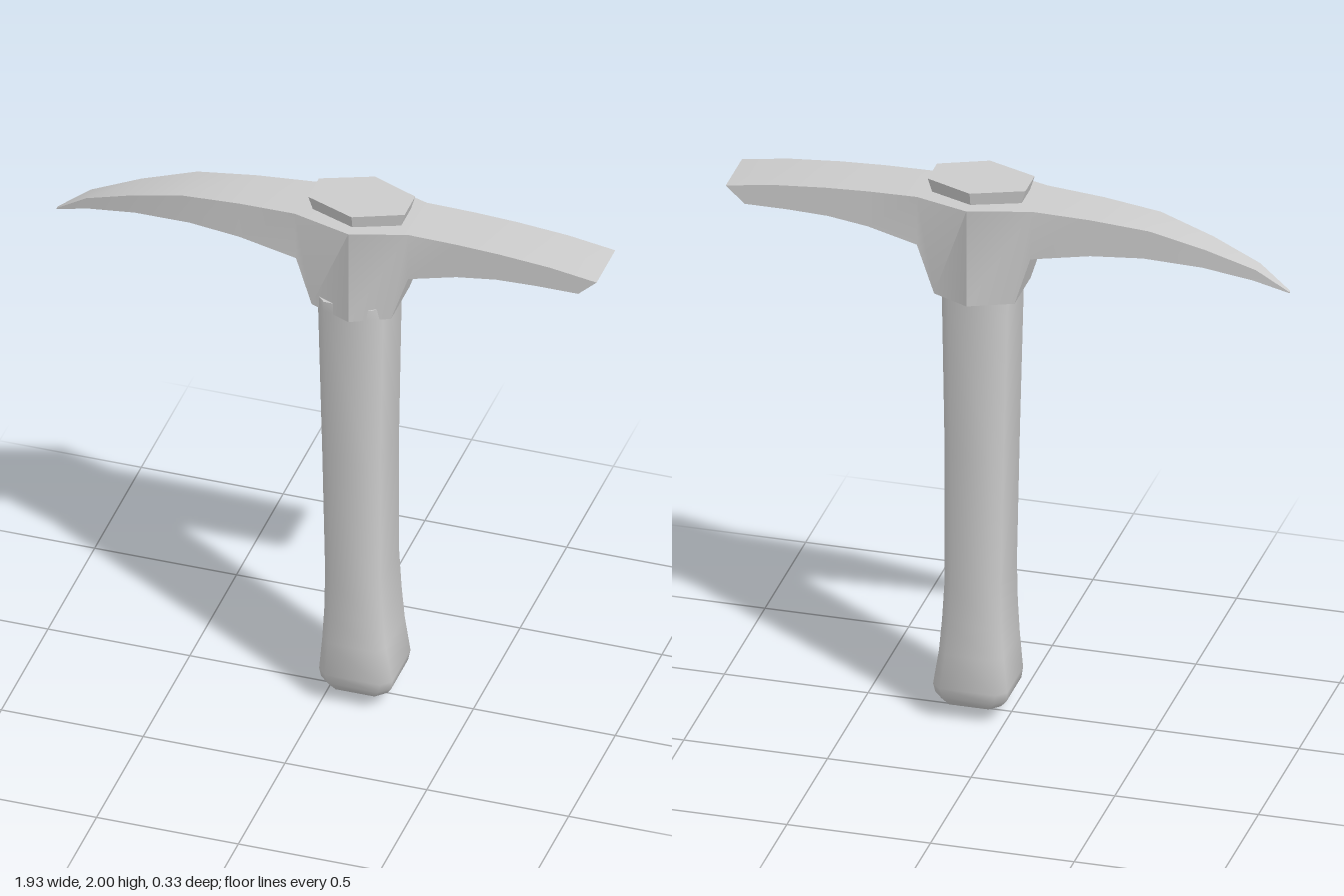
import * as THREE from 'three';
import { toCreasedNormals } from 'three/addons/utils/BufferGeometryUtils.js';

const material = new THREE.MeshStandardMaterial({ color: 0xcccccc });

// Skin a list of rings (arrays of Vector3, counter-clockwise about the direction of travel) and close both ends.
function loft(name, rings, creaseDegrees) {
  const positions = [];
  const tri = (a, b, c) => {
    const area = b.clone().sub(a).cross(c.clone().sub(a)).length();
    if (area > 1e-7) positions.push(...a.toArray(), ...b.toArray(), ...c.toArray());
  };
  const n = rings[0].length;
  for (let r = 0; r < rings.length - 1; r++) {
    const p = rings[r], q = rings[r + 1];
    for (let i = 0; i < n; i++) {
      const j = (i + 1) % n;
      tri(p[i], p[j], q[i]);
      tri(p[j], q[j], q[i]);
    }
  }
  const first = rings[0], last = rings[rings.length - 1];
  for (let i = 1; i < n - 1; i++) {
    tri(first[0], first[i + 1], first[i]);
    tri(last[0], last[i], last[i + 1]);
  }
  const geometry = new THREE.BufferGeometry();
  geometry.setAttribute('position', new THREE.Float32BufferAttribute(positions, 3));
  const mesh = new THREE.Mesh(toCreasedNormals(geometry, THREE.MathUtils.degToRad(creaseDegrees)), material);
  mesh.name = name;
  return mesh;
}

// Head: pointed pick, hexagonal socket, flat chisel blade
function createHead() {
  // top x, top y, bottom x, bottom y, half width
  const sections = [
    [-0.97, 1.722, -0.97, 1.718, 0.005],
    [-0.86, 1.80, -0.85, 1.76, 0.027],
    [-0.69, 1.865, -0.68, 1.797, 0.052],
    [-0.50, 1.92, -0.48, 1.815, 0.075],
    [-0.30, 1.94, -0.30, 1.805, 0.088],
    [-0.10, 1.95, -0.095, 1.77, 0.10],
    [-0.10, 1.95, -0.04, 1.595, 0.10],
    [0.11, 1.953, 0.11, 1.595, 0.163],
    [0.30, 1.95, 0.24, 1.595, 0.10],
    [0.30, 1.95, 0.30, 1.77, 0.10],
    [0.47, 1.947, 0.47, 1.815, 0.10],
    [0.62, 1.94, 0.61, 1.835, 0.10],
    [0.80, 1.925, 0.75, 1.84, 0.10],
    [0.965, 1.90, 0.90, 1.84, 0.10],
  ];
  const cz = -0.007;
  const rings = sections.map(([tx, ty, bx, by, w]) => [
    new THREE.Vector3(tx, ty, cz - w),
    new THREE.Vector3(tx, ty, cz + w),
    new THREE.Vector3(bx, by, cz + w),
    new THREE.Vector3(bx, by, cz - w),
  ]);
  return loft('pickHead', rings, 40);
}

// Handle: box section with chamfered corners, flared at the grip and pointed at the end
function createHandle() {
  // y, left x, right x, half depth, chamfer
  const sections = [
    [0, 0.118, 0.122, 0.002, 0.001],
    [0.055, 0.015, 0.222, 0.11, 0.035],
    [0.085, -0.008, 0.24, 0.125, 0.035],
    [0.12, -0.012, 0.246, 0.13, 0.032],
    [0.25, 0, 0.225, 0.13, 0.03],
    [0.37, 0.007, 0.214, 0.13, 0.03],
    [0.52, 0.01, 0.205, 0.13, 0.03],
    [1.00, 0, 0.205, 0.13, 0.03],
    [1.60, -0.015, 0.215, 0.13, 0.03],
    [1.64, -0.015, 0.215, 0.13, 0.03],
  ];
  const rings = sections.map(([y, l, r, d, c]) => [
    [r, d - c], [r, c - d], [r - c, -d], [l + c, -d],
    [l, c - d], [l, d - c], [l + c, d], [r - c, d],
  ].map(([x, z]) => new THREE.Vector3(x, y, z)));
  return loft('handle', rings, 60);
}

// Handle end showing above the head: hexagonal, flaring upward
function createHandleTop() {
  const ring = (y, s) => [
    [0.165, 0.057], [0.165, -0.057], [0, -0.126],
    [-0.175, -0.057], [-0.175, 0.057], [0, 0.126],
  ].map(([x, z]) => new THREE.Vector3(0.11 + x * s, y, -0.004 + z * s));
  return loft('handleTop', [ring(1.94, 0.9), ring(2, 1)], 20);
}

export function createModel() {
  const group = new THREE.Group();
  group.name = 'pickaxe';
  group.add(createHead(), createHandle(), createHandleTop());
  return group;
}
